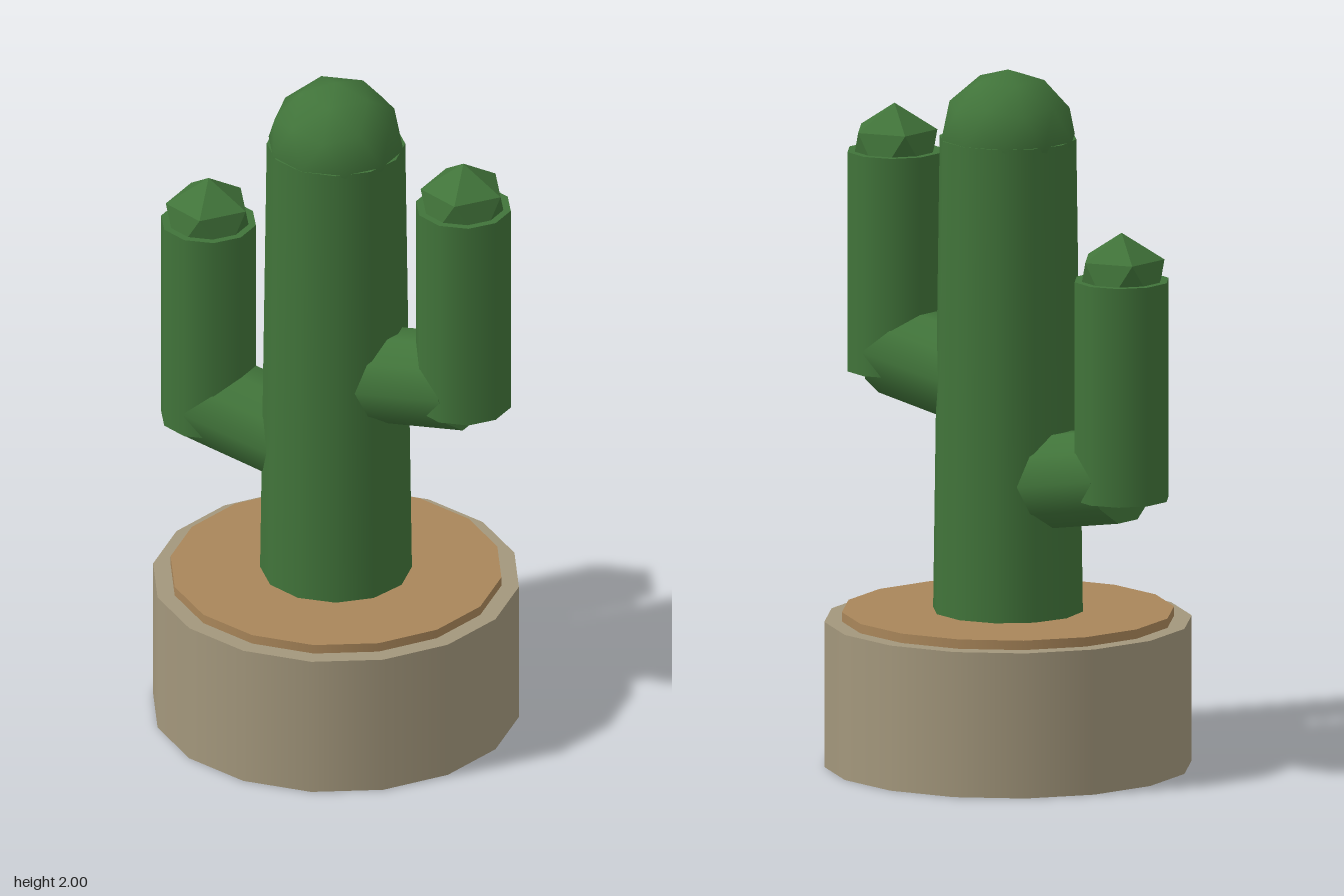
import * as THREE from 'three';

const green = new THREE.MeshStandardMaterial({ color: 0x41743a });
green.name = 'cactusGreen';
const clay = new THREE.MeshStandardMaterial({ color: 0xa3977c });
clay.name = 'potClay';
const earth = new THREE.MeshStandardMaterial({ color: 0xa9865a });
earth.name = 'soilBrown';
const dark = new THREE.MeshStandardMaterial({ color: 0x50463f });
dark.name = 'potBaseDark';

// Upright cylinder between two heights; material may be [side, top, bottom]
function column(name, material, rTop, rBottom, y0, y1, sides) {
  const geometry = new THREE.CylinderGeometry(rTop, rBottom, y1 - y0, sides);
  geometry.translate(0, (y0 + y1) / 2, 0);
  const mesh = new THREE.Mesh(geometry, material);
  mesh.name = name;
  return mesh;
}

// Icosphere turned so that one of its points is straight up
function ball(name, radius, detail, y) {
  const geometry = new THREE.IcosahedronGeometry(radius, detail);
  geometry.rotateZ(-Math.atan(2 / (1 + Math.sqrt(5))));
  const mesh = new THREE.Mesh(geometry, green);
  mesh.name = name;
  mesh.position.y = y;
  return mesh;
}

// Arm: tilted joint out of the trunk, upright part and faceted tip
function arm(name, side, y0, y1) {
  const group = new THREE.Group();
  group.name = name;

  const upright = column('armUpright', green, 0.137, 0.137, y0, y1, 10);
  const tip = ball('armTip', 0.136, 0, y1);
  upright.position.x = tip.position.x = side * 0.417;

  const tilt = THREE.MathUtils.degToRad(10);
  const length = 0.36;
  const geometry = new THREE.CylinderGeometry(0.139, 0.139, length, 10);
  geometry.translate(0, -length / 2, 0);
  const joint = new THREE.Mesh(geometry, green);
  joint.name = 'armJoint';
  joint.position.set(side * 0.417, y0 + 0.067, 0);
  joint.rotation.z = -side * (Math.PI / 2 - tilt);

  group.add(joint, upright, tip);
  return group;
}

export function createModel() {
  const model = new THREE.Group();
  model.name = 'pottedCactus';
  model.add(
    column('pot', [clay, clay, dark], 0.522, 0.522, 0, 0.418, 16),
    column('soil', earth, 0.472, 0.472, 0.4, 0.445, 16),
    column('trunk', green, 0.196, 0.215, 0.43, 1.805, 12),
    ball('trunkTop', 0.195, 1, 1.805),
    arm('leftArm', 1, 1.085, 1.717),
    arm('rightArm', -1, 0.815, 1.445)
  );
  return model;
}
